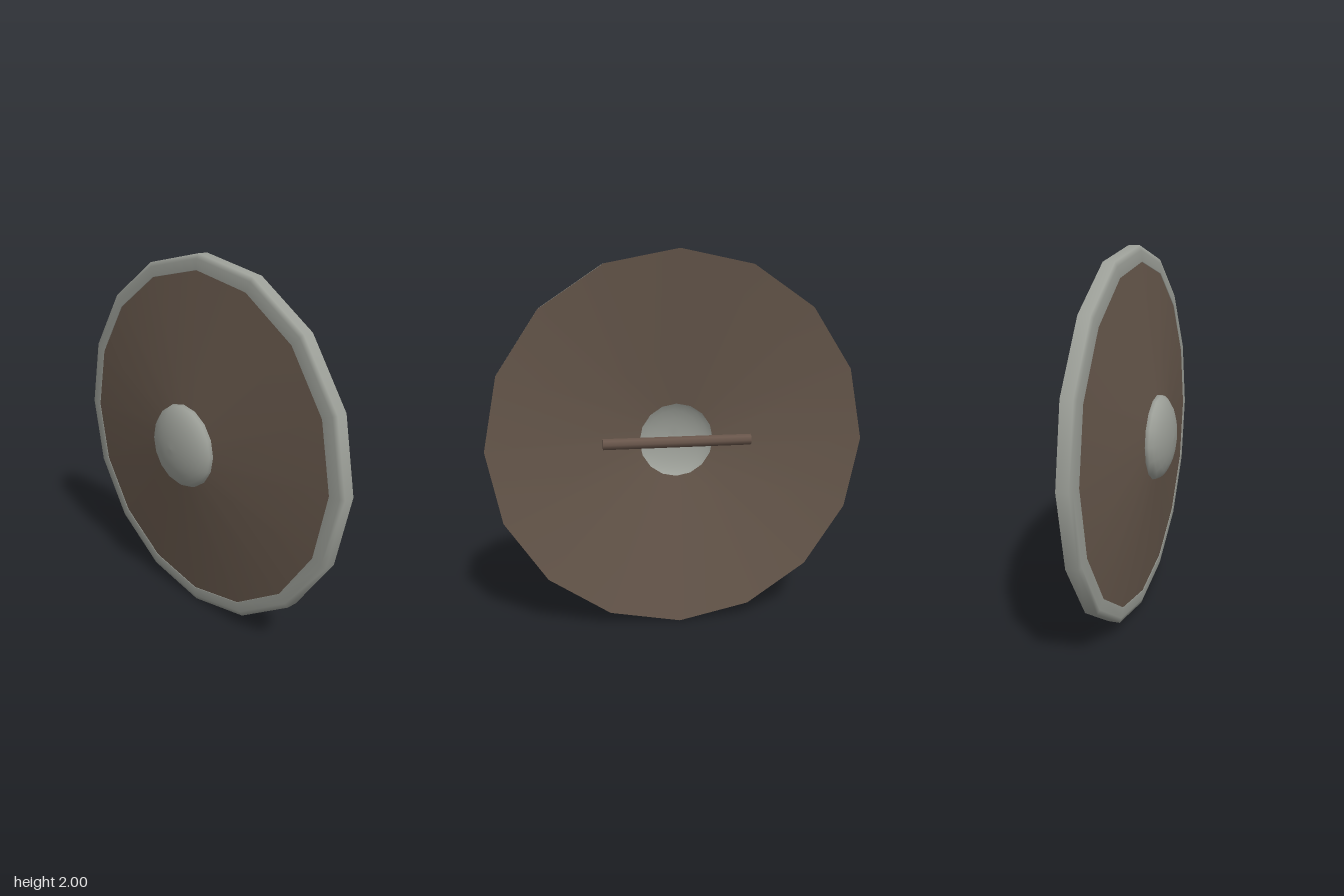
import * as THREE from 'three';

const SIDES = 16;

export function createModel() {
  const wood = new THREE.MeshStandardMaterial({ color: 0x66574b });
  wood.name = 'dark wood';
  const metal = new THREE.MeshStandardMaterial({ color: 0x9b9e97, side: THREE.DoubleSide });
  metal.name = 'dull steel';
  const grip = new THREE.MeshStandardMaterial({ color: 0x69564b });
  grip.name = 'grip wood';

  const shield = new THREE.Group();
  shield.name = 'roundShield';
  shield.position.y = 1;

  // Turns a [radius, z] profile around the z axis, listed from back to front
  function turned(name, profile, material) {
    const points = profile.map(([r, z]) => new THREE.Vector2(r, z));
    const geometry = new THREE.LatheGeometry(points, SIDES);
    geometry.rotateX(Math.PI / 2);
    const mesh = new THREE.Mesh(geometry, material);
    mesh.name = name;
    shield.add(mesh);
    return mesh;
  }

  // Shallow conical board, hollow at the back
  turned('boardBack', [[0.2, -0.006], [1, -0.125]], wood);
  turned('boardFront', [[0.985, -0.066], [0.92, -0.055], [0.225, 0.031]], wood);

  // Metal band: straight outer wall and rounded front lip
  turned('rim', [[1, -0.125], [1, -0.064], [0.975, -0.056], [0.92, -0.05], [0.918, -0.056]], metal);

  // Hollow domed boss, seated in the hole of the board
  const dome = [[0.2, -0.006]];
  const steps = 7;
  for (let i = 0; i <= steps; i++) {
    const a = (i / steps) * Math.PI / 2;
    dome.push([i === steps ? 0 : 0.232 * Math.cos(a), 0.028 + 0.097 * Math.sin(a)]);
  }
  turned('boss', dome, metal);

  // Horizontal hand grip across the back
  const handle = new THREE.Mesh(new THREE.CylinderGeometry(0.03, 0.03, 0.8, 8), grip);
  handle.name = 'handGrip';
  handle.rotation.z = Math.PI / 2;
  handle.position.z = -0.05;
  shield.add(handle);

  const model = new THREE.Group();
  model.name = 'shieldModel';
  model.add(shield);
  return model;
}
